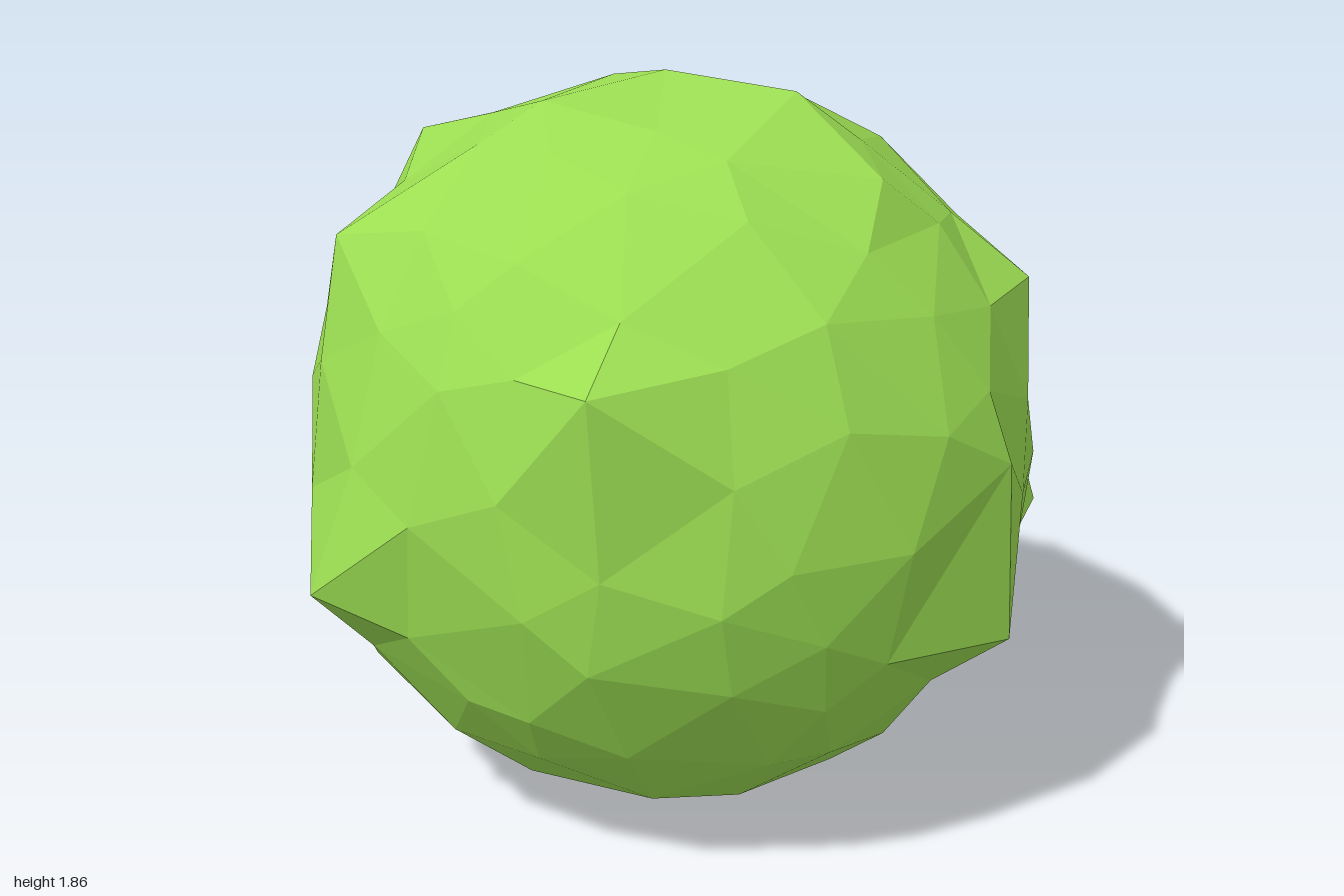
import * as THREE from 'three';
import { mergeVertices } from 'three/addons/utils/BufferGeometryUtils.js';

const CENTRE_Y = 0.93;

// Small seeded random generator
function seeded(seed) {
  return () => {
    seed = (seed * 16807) % 2147483647;
    return seed / 2147483647;
  };
}

// Leafy points that stick out of the round crown
const tips = [
  [-0.27, 0.73, 1.0], [0, 1.2, -1.0], [-0.48, 1.51, 0.68], [-0.71, 1.66, 0.16],
  [-0.83, 1.26, -0.53], [0.34, 1.85, -0.06], [0.61, 1.68, -0.04], [0.94, 0.57, -0.16],
  [0.47, 1.33, 0.84], [0.65, 0.7, -0.73], [0.75, 1.38, -0.48],
  [0.28, 0, -0.1], [0.94, 1.03, -0.13], [-0.94, 1.15, 0.12], [-0.05, 1.86, -0.04],
  [-0.15, 1.82, 0.3], [-0.36, 1.1, -0.84],
];

function crownGeometry() {
  const rand = seeded(4217);
  let geo = new THREE.IcosahedronGeometry(1, 3);
  geo.deleteAttribute('uv');
  geo.deleteAttribute('normal');
  geo = mergeVertices(geo, 1e-3);

  // Uneven, roughly spherical facets
  const pos = geo.attributes.position;
  const v = new THREE.Vector3();
  for (let i = 0; i < pos.count; i++) {
    v.fromBufferAttribute(pos, i);
    v.x += (rand() - 0.5) * 0.14;
    v.y += (rand() - 0.5) * 0.14;
    v.z += (rand() - 0.5) * 0.14;
    v.setLength(0.92 + rand() * 0.02);
    pos.setXYZ(i, v.x, THREE.MathUtils.clamp(v.y + CENTRE_Y, 0, 1.86), v.z);
  }

  // Pull the nearest free vertex out to each tip
  const used = new Set();
  for (const tip of tips) {
    const target = new THREE.Vector3(...tip);
    let best = -1, bestDistance = Infinity;
    for (let i = 0; i < pos.count; i++) {
      const d = v.fromBufferAttribute(pos, i).distanceTo(target);
      if (d < bestDistance && !used.has(i)) {
        best = i;
        bestDistance = d;
      }
    }
    used.add(best);
    pos.setXYZ(best, ...tip);
  }

  // Separate faces for crisp facets
  geo = geo.toNonIndexed();
  geo.computeVertexNormals();
  return geo;
}

export function createModel() {
  const group = new THREE.Group();
  group.name = 'bush';
  const leafGreen = new THREE.MeshStandardMaterial({ color: 0x9bdd52, flatShading: true });
  leafGreen.name = 'leaf green';
  const crown = new THREE.Mesh(crownGeometry(), leafGreen);
  crown.name = 'leafCrown';
  group.add(crown);
  return group;
}
